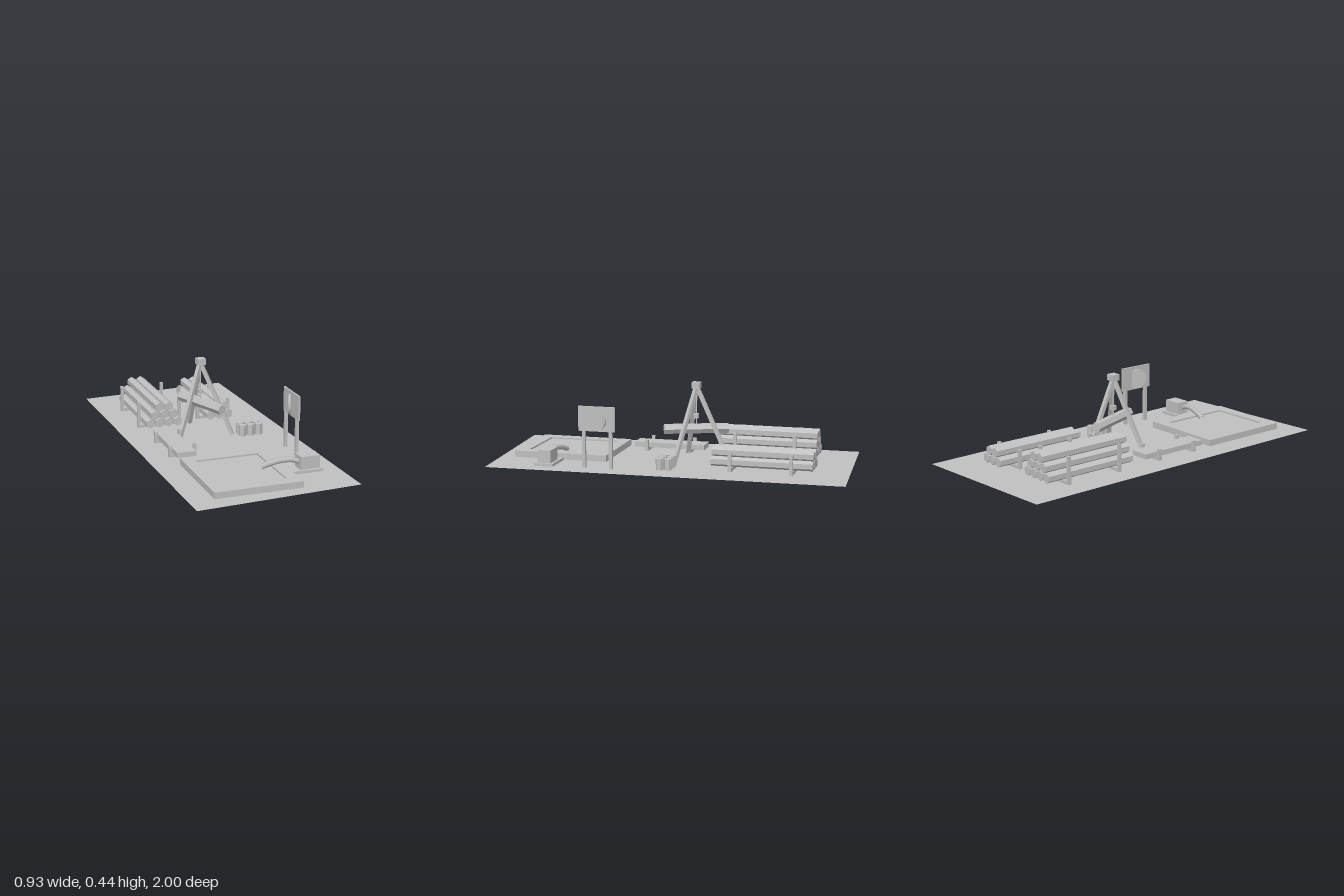
import * as THREE from 'three';

const grey = new THREE.MeshStandardMaterial({ color: 0xc0c0c0, flatShading: true });
grey.name = 'plain grey';
const greySheet = new THREE.MeshStandardMaterial({ color: 0xc0c0c0, side: THREE.DoubleSide });
greySheet.name = 'plain grey sheet';

function add(parent, name, geometry, material = grey) {
  const mesh = new THREE.Mesh(geometry, material);
  mesh.name = name;
  parent.add(mesh);
  return mesh;
}

// Box given by its limits on each axis
function box(parent, name, x0, x1, y0, y1, z0, z1) {
  const mesh = add(parent, name, new THREE.BoxGeometry(x1 - x0, y1 - y0, z1 - z0));
  mesh.position.set((x0 + x1) / 2, (y0 + y1) / 2, (z0 + z1) / 2);
  return mesh;
}

// Six-sided log lying along +z; turn rolls it about its own axis
function logGeometry(radius, length, turn = 0) {
  return new THREE.CylinderGeometry(radius, radius, length, 6).rotateY(turn).rotateX(Math.PI / 2);
}

// Bar between two points
function beam(parent, name, from, to, width) {
  const a = new THREE.Vector3(...from), b = new THREE.Vector3(...to);
  const mesh = add(parent, name, new THREE.BoxGeometry(width, width, a.distanceTo(b)));
  mesh.position.copy(a).add(b).multiplyScalar(0.5);
  mesh.lookAt(b);
  return mesh;
}

// Cross beam on the ground with a stake at each end
function rack(parent, x0, x1, height, zs) {
  for (const z of zs) {
    box(parent, 'rackBeam', x0, x1, 0.004, 0.022, z - 0.01, z + 0.01);
    box(parent, 'rackStake', x0, x0 + 0.016, 0.004, height, z - 0.009, z + 0.009);
    box(parent, 'rackStake', x1 - 0.016, x1, 0.004, height, z - 0.009, z + 0.009);
  }
}

// Pyramid of logs held by racks
function logStack(parent, name, centerX, centerZ, bottomCount, rows, rackLimits, height, zs) {
  const stack = new THREE.Group();
  stack.name = name;
  parent.add(stack);
  for (let row = 0; row < rows; row++) {
    const count = bottomCount - row;
    for (let i = 0; i < count; i++) {
      const log = add(stack, 'log', logGeometry(0.027, 0.55));
      log.position.set(centerX + (i - (count - 1) / 2) * 0.0535, 0.052 + row * 0.0465, centerZ);
    }
  }
  rack(stack, rackLimits[0], rackLimits[1], height, zs);
}

export function createModel() {
  const model = new THREE.Group();
  model.name = 'lumberYard';

  // Ground sheet, slightly skewed
  const plot = new THREE.Shape([[-0.465, 0.95], [-0.44, -1], [0.46, -0.94], [0.405, 1]]
    .map(([x, y]) => new THREE.Vector2(x, y)));
  const ground = add(model, 'ground', new THREE.ShapeGeometry(plot).rotateX(-Math.PI / 2), greySheet);
  ground.position.y = 0.005;

  // Basin: rim with a shallow floor
  const rim = new THREE.Shape([[-0.307, -0.882], [0.17, -0.882], [0.17, -0.35], [-0.307, -0.35]]
    .map(([x, y]) => new THREE.Vector2(x, y)));
  rim.holes.push(new THREE.Path([[-0.242, -0.816], [-0.242, -0.413], [0.103, -0.413], [0.103, -0.816]]
    .map(([x, y]) => new THREE.Vector2(x, y))));
  add(model, 'basinRim', new THREE.ExtrudeGeometry(rim, { depth: 0.04, bevelEnabled: false }).rotateX(-Math.PI / 2));
  box(model, 'basinFloor', -0.242, 0.103, 0.004, 0.031, 0.413, 0.816);

  // Pump with curved spout
  box(model, 'pumpBase', 0.185, 0.361, 0.004, 0.02, 0.59, 0.695);
  box(model, 'pumpBody', 0.238, 0.346, 0.02, 0.09, 0.605, 0.68);
  const spoutPath = new THREE.CatmullRomCurve3([[0.24, 0.058, 0.647], [0.2, 0.071, 0.643],
    [0.15, 0.07, 0.635], [0.1, 0.06, 0.627], [0.045, 0.041, 0.618]].map(p => new THREE.Vector3(...p)));
  add(model, 'spout', new THREE.TubeGeometry(spoutPath, 10, 0.015, 6), greySheet);

  // Sign board on two posts with an angled disc
  const sign = new THREE.Group();
  sign.name = 'sign';
  model.add(sign);
  for (const z of [0.27, 0.42]) box(sign, 'signPost', 0.318, 0.335, 0.004, 0.21, z - 0.009, z + 0.009);
  box(sign, 'signBoard', 0.321, 0.331, 0.205, 0.34, 0.247, 0.45);
  const disc = add(sign, 'signDisc', new THREE.CylinderGeometry(0.057, 0.057, 0.01, 20).rotateZ(Math.PI / 2));
  disc.position.set(0.314, 0.268, 0.345);
  disc.rotation.y = -0.42;

  // Tripod with hoist and hanging log
  const tripod = new THREE.Group();
  tripod.name = 'tripod';
  model.add(tripod);
  for (const foot of [[-0.185, 0.005, -0.022], [0.127, 0.005, -0.022], [-0.03, 0.005, -0.297]]) {
    beam(tripod, 'tripodLeg', foot, [-0.03, 0.415, -0.11], 0.021);
  }
  box(tripod, 'tripodCap', -0.052, -0.005, 0.403, 0.437, -0.133, -0.087);
  box(tripod, 'rope', -0.032, -0.026, 0.2, 0.41, -0.113, -0.107);
  box(tripod, 'hoistBlock', -0.042, -0.016, 0.237, 0.262, -0.122, -0.097);
  const hanging = add(tripod, 'hangingLog', logGeometry(0.029, 0.355, Math.PI / 6));
  hanging.position.set(-0.024, 0.18, -0.11);
  hanging.rotation.y = 0.36;

  // Log stacks
  logStack(model, 'largeLogStack', -0.208, -0.485, 4, 3, [-0.335, -0.078], 0.155, [-0.315, -0.646]);
  logStack(model, 'smallLogStack', 0.135, -0.523, 3, 2, [0.032, 0.234], 0.11, [-0.357, -0.687]);

  // Thick plank on a low rack
  box(model, 'plank', -0.303, -0.196, 0.022, 0.05, -0.112, 0.296);
  rack(model, -0.325, -0.172, 0.067, [-0.028, 0.219]);

  // Cluster of short stumps
  for (const x of [0.175, 0.222, 0.27]) {
    for (const z of [-0.03, 0.015]) {
      const stump = add(model, 'stump', new THREE.CylinderGeometry(0.022, 0.022, 0.062, 6));
      stump.position.set(x, 0.035, z);
    }
  }

  return model;
}
